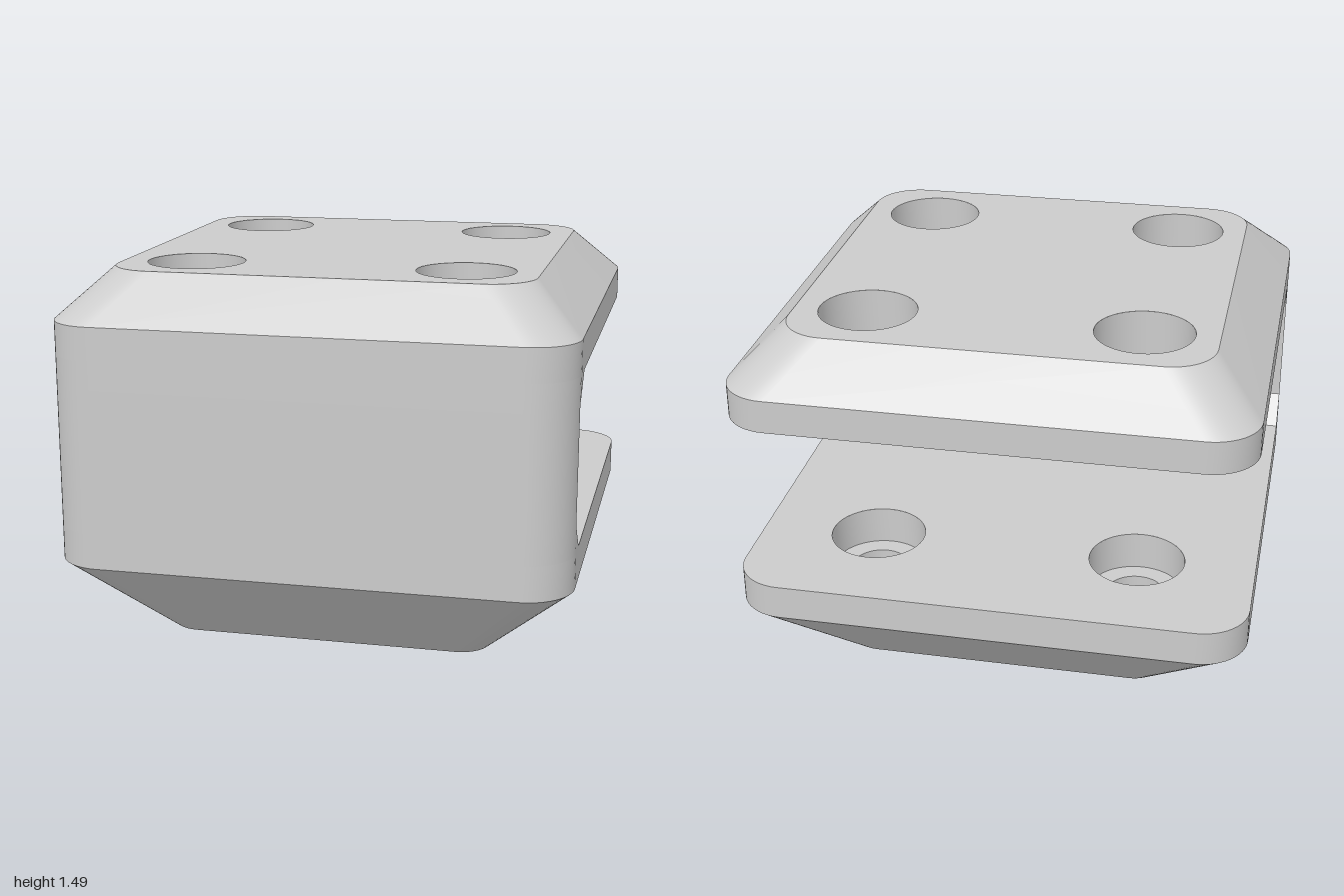
import * as THREE from 'three';
import { toCreasedNormals } from 'three/addons/utils/BufferGeometryUtils.js';

const ARC = 12, HOLE_SEGS = 48, HOLE_POS = 0.53;
const CORNER = 0.19;
const SLOT_BOTTOM = 0.495, SLOT_TOP = 1.17, TOP = 1.485;
const material = new THREE.MeshStandardMaterial({ color: 0xcccccc });

// rounded square outline as [x, z] points, running from +z towards +x
function roundedSquare(half, r) {
  const pts = [], c = half - r;
  for (let k = 0; k < 4; k++) {
    const mid = (k + 0.5) * Math.PI / 2;
    const cx = c * Math.sign(Math.sin(mid)), cz = c * Math.sign(Math.cos(mid));
    for (let i = 0; i <= ARC; i++) {
      const a = (k + i / ARC) * Math.PI / 2;
      pts.push([cx + r * Math.sin(a), cz + r * Math.cos(a)]);
    }
  }
  return pts;
}

// the front part of the full outline, cut off straight at z = cut
function frontOutline(cut) {
  const c = 1 - CORNER;
  const limit = Math.acos(Math.max(0, (cut - c) / CORNER));
  const right = [];
  for (let i = 0; i <= ARC; i++) {
    const a = Math.min(limit, i / ARC * Math.PI / 2);
    right.push([c + CORNER * Math.sin(a), c + CORNER * Math.cos(a)]);
  }
  right.push([right[ARC][0], cut]);
  const left = right.map(([x, z]) => [-x, z]).reverse();
  return [...left, ...right];
}

// skin a stack of closed outlines, given as [y, outline] from bottom to top
function loft(stack) {
  const pos = [], index = [], n = stack[0][1].length;
  for (const [y, outline] of stack) for (const [x, z] of outline) pos.push(x, y, z);
  for (let s = 0; s < stack.length - 1; s++) {
    for (let i = 0; i < n; i++) {
      const a = s * n + i, b = s * n + (i + 1) % n;
      index.push(a, b, b + n, a, b + n, a + n);
    }
  }
  const g = new THREE.BufferGeometry();
  g.setAttribute('position', new THREE.Float32BufferAttribute(pos, 3));
  g.setIndex(index);
  return toCreasedNormals(g, 0.5);
}

// flat rounded square with four round holes, facing up or down
function face(half, r, holeRadius, y, up) {
  const shape = new THREE.Shape(roundedSquare(half, r).map(([x, z]) => new THREE.Vector2(x, z)));
  for (const x of [-HOLE_POS, HOLE_POS]) for (const z of [-HOLE_POS, HOLE_POS]) {
    shape.holes.push(new THREE.Path().absarc(x, z, holeRadius, 0, Math.PI * 2));
  }
  const g = new THREE.ShapeGeometry(shape, HOLE_SEGS);
  return g.rotateX(up ? -Math.PI / 2 : Math.PI / 2).translate(0, y, 0);
}

function add(parent, name, geometry) {
  const mesh = new THREE.Mesh(geometry, material);
  mesh.name = name;
  parent.add(mesh);
  return mesh;
}

// four hole walls; the profile runs downwards so that they face inwards
function addHoles(parent, name, profile) {
  const points = profile.map(([r, y]) => new THREE.Vector2(r, y));
  const g = toCreasedNormals(new THREE.LatheGeometry(points, HOLE_SEGS), 0.5);
  for (const x of [-HOLE_POS, HOLE_POS]) for (const z of [-HOLE_POS, HOLE_POS]) {
    add(parent, name, g).position.set(x, 0, z);
  }
}

export function createModel() {
  const model = new THREE.Group();
  model.name = 'clampBracket';
  const full = roundedSquare(1, CORNER);

  // lower plate with a deep chamfer and counterbored holes
  const lower = new THREE.Group();
  lower.name = 'lowerPlate';
  add(lower, 'lowerSides', loft([[0, roundedSquare(0.647, 0.118)], [0.357, full], [SLOT_BOTTOM, full]]));
  add(lower, 'lowerBase', face(0.647, 0.118, 0.116, 0, false));
  add(lower, 'slotFloor', face(1, CORNER, 0.19, SLOT_BOTTOM, true));
  addHoles(lower, 'counterboredHole', [[0.19, SLOT_BOTTOM], [0.19, 0.34], [0.116, 0.34], [0.116, 0]]);

  // upper plate with a chamfered rim and plain holes
  const upper = new THREE.Group();
  upper.name = 'upperPlate';
  add(upper, 'upperSides', loft([[SLOT_TOP, full], [1.3, full], [TOP, roundedSquare(0.813, 0.18)]]));
  add(upper, 'slotCeiling', face(1, CORNER, 0.19, SLOT_TOP, false));
  add(upper, 'upperFace', face(0.813, 0.18, 0.19, TOP, true));
  addHoles(upper, 'plainHole', [[0.19, TOP], [0.19, SLOT_TOP]]);

  // front wall joining the plates, with sloped fillets inside the slot
  const wall = [[SLOT_BOTTOM, 0.72], [0.605, 0.83], [1.06, 0.83], [SLOT_TOP, 0.72]];
  add(model, 'frontWall', loft(wall.map(([y, cut]) => [y, frontOutline(cut)])));

  model.add(lower, upper);
  return model;
}
